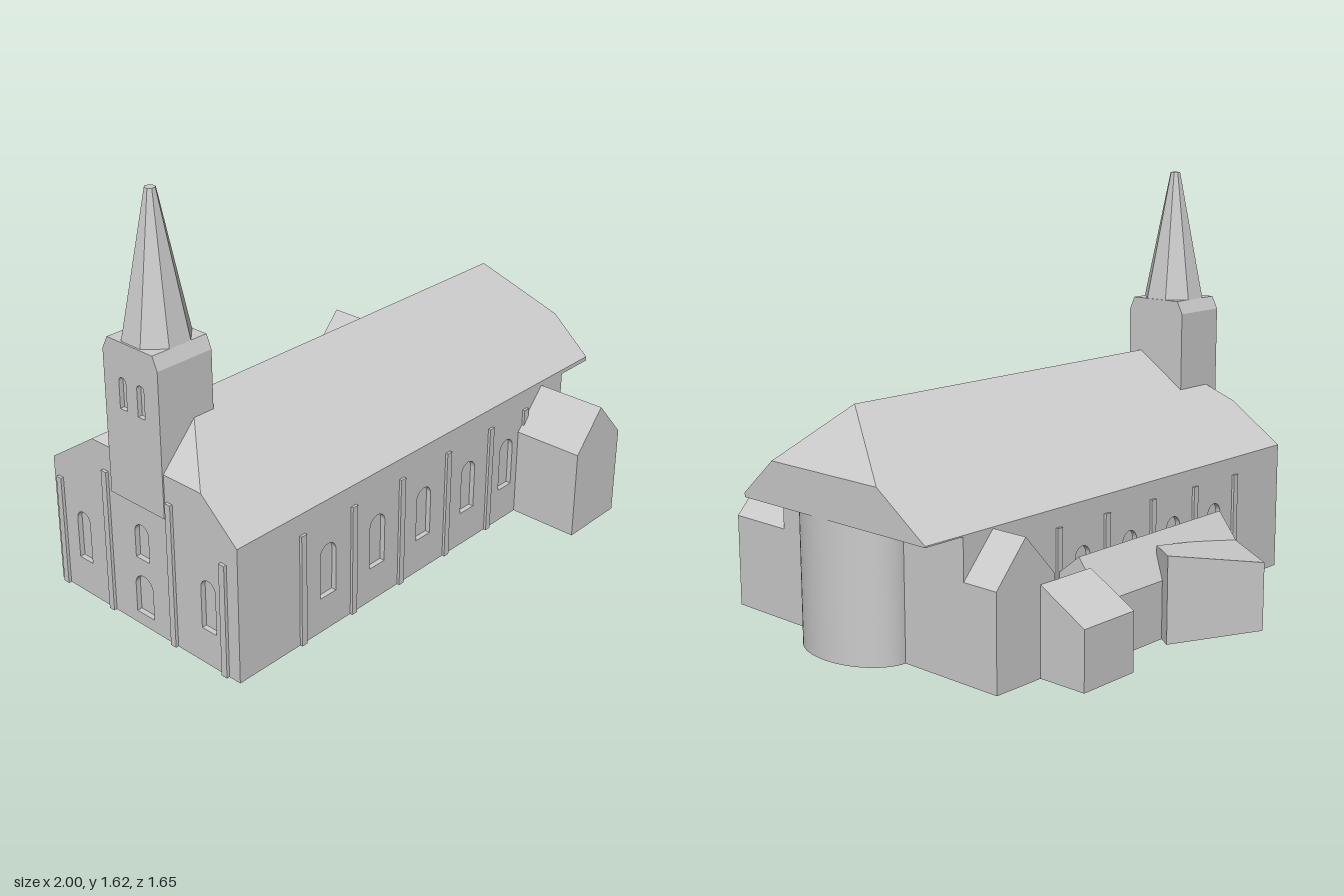
import * as THREE from 'three';
import { ConvexGeometry } from 'three/addons/geometries/ConvexGeometry.js';

export function createModel() {
  const group = new THREE.Group();
  const stone = new THREE.MeshStandardMaterial({ color: 0xcccccc });
  stone.name = 'paleStone';

  const add = (name, geometry) => {
    const mesh = new THREE.Mesh(geometry, stone);
    mesh.name = name;
    group.add(mesh);
    return mesh;
  };
  const box = (name, x0, x1, y0, y1, z0, z1) =>
    add(name, new THREE.BoxGeometry(x1 - x0, y1 - y0, z1 - z0))
      .position.set((x0 + x1) / 2, (y0 + y1) / 2, (z0 + z1) / 2);
  const hull = (name, points) =>
    add(name, new ConvexGeometry(points.map((p) => new THREE.Vector3(...p))));
  // Solid with a constant [z, y] profile along x
  const alongX = (name, x0, x1, profile) =>
    hull(name, [x0, x1].flatMap((x) => profile.map(([z, y]) => [x, y, z])));

  // Wall panel pierced by round-headed windows [centre, sill, width, height]
  const PANEL = 0.02;
  const wall = (name, u0, u1, v0, v1, windows, depth = PANEL) => {
    const shape = new THREE.Shape([[u0, v0], [u1, v0], [u1, v1], [u0, v1]].map((p) => new THREE.Vector2(...p)));
    for (const [c, sill, w, h] of windows) {
      const hole = new THREE.Path();
      hole.moveTo(c - w / 2, sill);
      hole.lineTo(c + w / 2, sill);
      hole.lineTo(c + w / 2, sill + h - w / 2);
      hole.absarc(c, sill + h - w / 2, w / 2, 0, Math.PI, false);
      hole.closePath();
      shape.holes.push(hole);
    }
    return add(name, new THREE.ExtrudeGeometry(shape, { depth, bevelEnabled: false, curveSegments: 8 }));
  };

  // Nave: solid core with window panels in front of it
  box('naveCore', -0.965, 0.83, 0, 0.51, -0.38, 0.525);
  const bays = [-0.55, -0.29, -0.03, 0.235, 0.475];
  wall('frontWall', -0.985, 0.83, 0, 0.51, bays.map((x) => [x, 0.14, 0.08, 0.21]))
    .position.z = 0.545 - PANEL;
  const back = wall('backWall', -0.83, 0.985, 0, 0.51, bays.map((x) => [-x, 0.14, 0.08, 0.21]));
  back.rotation.y = Math.PI;
  back.position.z = -0.4 + PANEL;
  const west = wall('endWall', -0.38, 0.525, 0, 0.51, [
    [-0.25, 0.14, 0.07, 0.2], [0.07, 0.05, 0.09, 0.16], [0.07, 0.28, 0.07, 0.14], [0.4, 0.14, 0.07, 0.2],
  ]);
  west.rotation.y = -Math.PI / 2;
  west.position.x = -0.985 + PANEL;

  // Buttresses
  for (const x of [-0.68, -0.42, -0.16, 0.105, 0.365, 0.585]) {
    box('frontButtress', x - 0.013, x + 0.013, 0, 0.445, 0.54, 0.555);
    box('backButtress', x - 0.013, x + 0.013, 0, 0.445, -0.41, -0.395);
  }
  for (const [z, h] of [[-0.365, 0.445], [-0.105, 0.57], [0.225, 0.57], [0.48, 0.445]])
    box('endButtress', -0.997, -0.98, 0, h, z - 0.013, z + 0.013);

  // Main roof with clipped gables
  const roofEnd = (x, ridgeX) => [
    [x, 0.51, 0.545], [x, 0.527, 0.545], [x, 0.67, 0.381],
    [x, 0.67, -0.171], [x, 0.515, -0.4], [x, 0.51, -0.4], [ridgeX, 0.88, 0.14],
  ];
  hull('mainRoof', [...roofEnd(-0.985, -0.79), ...roofEnd(1, 0.82)]);

  // Rounded apse under the roof overhang
  const apse = add('apse', new THREE.CylinderGeometry(1, 1, 0.51, 32, 1, false, 0, Math.PI));
  apse.scale.set(0.17, 1, 0.24);
  apse.position.set(0.83, 0.255, 0.13);

  // Gabled porches on both sides
  const porch = (name, z0, z1) => hull(name, [z0, z1].flatMap((z) => [
    [0.55, 0, z], [0.83, 0, z], [0.83, 0.355, z], [0.69, 0.51, z], [0.55, 0.355, z],
  ]));
  porch('frontPorch', 0.53, 0.825);
  porch('backPorch', -0.55, -0.385);

  // Tower with belfry openings, sloped cap and eight-sided spire
  box('towerCore', -0.972, -0.75, 0.5, 1.05, -0.073, 0.2);
  const belfry = wall('towerFace', -0.073, 0.2, 0.5, 1.05,
    [[0.02, 0.85, 0.035, 0.12], [0.11, 0.85, 0.035, 0.12]], 0.018);
  belfry.rotation.y = -Math.PI / 2;
  belfry.position.x = -0.972;
  hull('towerCap', [-0.99, -0.75].flatMap((x) => [
    [x, 1.05, -0.073], [x, 1.05, 0.2], [x, 1.1, 0.178], [x, 1.1, -0.048],
  ]));
  const spireGeometry = new THREE.CylinderGeometry(0.02, 0.124, 0.517, 8).rotateY(Math.PI / 8).toNonIndexed();
  spireGeometry.computeVertexNormals();
  add('spire', spireGeometry).position.set(-0.868, 1.3585, 0.064);

  // Low back annexes
  alongX('longAnnex', -0.45, 0.37, [[-0.39, 0], [-0.39, 0.27], [-0.5, 0.36], [-0.61, 0.22], [-0.61, 0]]);
  alongX('sideAnnex', 0.365, 0.62, [[-0.39, 0], [-0.39, 0.24], [-0.55, 0.33], [-0.745, 0.22], [-0.745, 0]]);

  // Skewed annex with a single-pitch roof
  hull('skewedAnnex', [
    [-0.45, 0.26, -0.575], [-0.28, 0.26, -0.828], [0.075, 0.33, -0.66], [0, 0.33, -0.55], [-0.2, 0.3, -0.55],
  ].flatMap(([x, y, z]) => [[x, 0, z], [x, y, z]]));

  return group;
}
